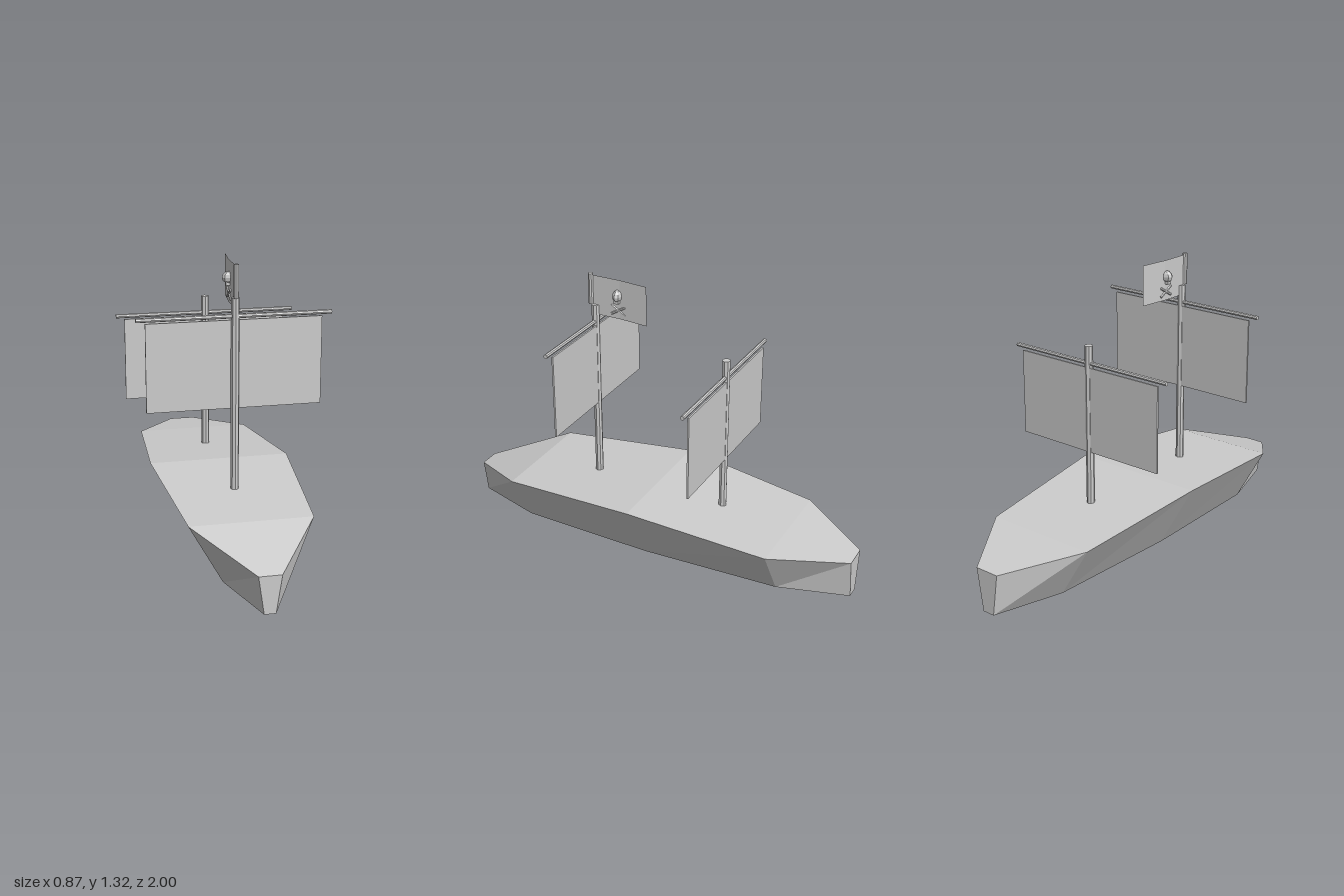
import * as THREE from 'three';

const grey = new THREE.MeshStandardMaterial({ color: 0xcccccc, flatShading: true, side: THREE.DoubleSide });
grey.name = 'light grey';

function add(parent, name, geometry, x = 0, y = 0, z = 0) {
  const mesh = new THREE.Mesh(geometry, grey);
  mesh.name = name;
  mesh.position.set(x, y, z);
  parent.add(mesh);
  return mesh;
}

// Hull lofted through four-cornered sections: [z, bottom half width, deck half width, deck height]
function hullGeometry() {
  const sections = [
    [1, 0.025, 0.05, 0.17],
    [0.67, 0.125, 0.275, 0.27],
    [0, 0.15, 0.33, 0.317],
    [-0.67, 0.125, 0.275, 0.25],
    [-1, 0.03, 0.06, 0.2],
  ];
  const points = [], index = [];
  for (const [z, b, t, y] of sections) points.push(-b, 0, z, b, 0, z, t, y, z, -t, y, z);
  for (let i = 0; i < sections.length - 1; i++) {
    for (let j = 0; j < 4; j++) {
      const k = (j + 1) % 4;
      const a = i * 4 + j, b = i * 4 + k, c = b + 4, d = a + 4;
      index.push(a, d, c, a, c, b);
    }
  }
  const e = (sections.length - 1) * 4;
  index.push(0, 1, 2, 0, 2, 3, e, e + 2, e + 1, e, e + 3, e + 2);
  const g = new THREE.BufferGeometry();
  g.setAttribute('position', new THREE.Float32BufferAttribute(points, 3));
  g.setIndex(index);
  const flat = g.toNonIndexed();
  flat.computeVertexNormals();
  return flat;
}

// Mast with its yard and square sail
function rig(name, z, foot, top, yardY) {
  const group = new THREE.Group();
  group.name = name;
  group.position.z = z;
  add(group, 'mast', new THREE.CylinderGeometry(0.019, 0.019, top - foot, 8), 0, (top + foot) / 2, 0);
  const yard = add(group, 'yard', new THREE.CylinderGeometry(0.01, 0.01, 0.868, 8), 0, yardY, 0);
  yard.rotation.z = Math.PI / 2;
  add(group, 'sail', new THREE.BoxGeometry(0.786, 0.4, 0.008), 0, yardY - 0.218, -0.008);
  return group;
}

// Flag of two panels with a slight fold, carrying a skull and crossed bones
function flag() {
  const group = new THREE.Group();
  group.name = 'flag';
  add(group, 'flagPole', new THREE.CylinderGeometry(0.012, 0.012, 0.148, 8), 0, 1.245, 0.355);
  const cloth = new THREE.PlaneGeometry(0.29, 0.19, 2, 1);
  cloth.rotateY(Math.PI / 2);
  const p = cloth.attributes.position;
  for (let i = 0; i < p.count; i++) p.setX(i, p.getZ(i) < -0.01 ? 0.015 : 0);
  add(group, 'flagCloth', cloth.toNonIndexed(), 0, 1.217, 0.205);
  const skull = add(group, 'skull', new THREE.SphereGeometry(1, 8, 6), 0, 1.235, 0.215);
  skull.scale.set(0.034, 0.028, 0.022);
  add(group, 'jaw', new THREE.BoxGeometry(0.036, 0.016, 0.022), 0, 1.208, 0.215);
  for (const s of [-1, 1]) {
    const bone = add(group, 'bone', new THREE.CylinderGeometry(0.006, 0.006, 0.084, 6), 0, 1.163, 0.212);
    bone.rotation.x = s * 1.05;
  }
  return group;
}

export function createModel() {
  const ship = new THREE.Group();
  ship.name = 'sailingShip';
  add(ship, 'hull', hullGeometry());
  ship.add(rig('frontRig', 0.333, 0.285, 1.17, 1.088));
  ship.add(rig('rearRig', -0.333, 0.275, 1.035, 0.953));
  ship.add(flag());
  return ship;
}
